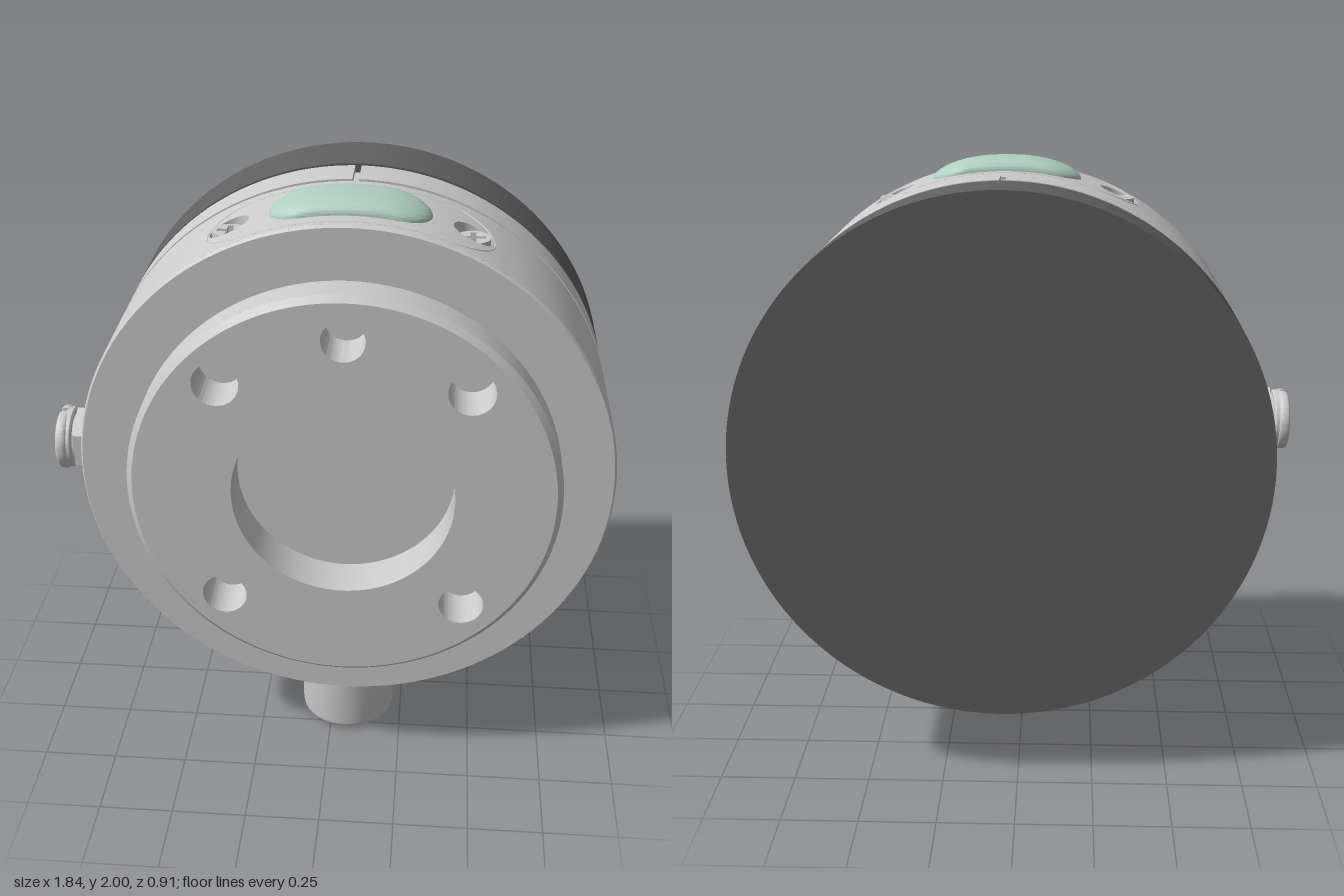
import * as THREE from 'three';
import { toCreasedNormals } from 'three/addons/utils/BufferGeometryUtils.js';
import { ParametricGeometry } from 'three/addons/geometries/ParametricGeometry.js';

const R = 0.865;          // housing radius
const PORT_Z = 0.13;      // z of plug and stub axes
const LENS_Z = 0.145;     // z of the indicator axis
const grey = new THREE.MeshStandardMaterial({ color: 0xcccccc, side: THREE.DoubleSide });
const dark = new THREE.MeshStandardMaterial({ color: 0x606060, side: THREE.DoubleSide });
const green = new THREE.MeshStandardMaterial({ color: 0xb0d0c0, side: THREE.DoubleSide });

const height = (x) => Math.sqrt(R * R - x * x);   // housing surface above its axis

function add(parent, name, geometry, material = grey) {
  const mesh = new THREE.Mesh(toCreasedNormals(geometry, 0.5), material);
  mesh.name = name;
  parent.add(mesh);
  return mesh;
}

// Profile of [radius, z] turned about the z axis
function turned(profile, start = 0, length = Math.PI * 2) {
  const points = profile.map(([r, z]) => new THREE.Vector2(r, z));
  return new THREE.LatheGeometry(points, Math.ceil(length * 20), start, length).rotateX(Math.PI / 2);
}

// Rectangle of housing wall with a round, flat-bottomed recess sunk along y
function recessedWall(x0, x1, xc, zc, r, floor) {
  const z0 = -0.055, z1 = 0.325;
  const corners = [[x0, z0], [x0, z1], [x1, z1], [x1, z0]];
  return new ParametricGeometry((u, v, target) => {
    const t = u * 4, k = Math.min(3, Math.floor(t + 1e-6)), f = t - k;
    const a = corners[k], b = corners[(k + 1) % 4];
    const px = a[0] + (b[0] - a[0]) * f, pz = a[1] + (b[1] - a[1]) * f;
    const len = Math.hypot(px - xc, pz - zc);
    const ix = xc + (px - xc) / len * r, iz = zc + (pz - zc) / len * r;
    const s = Math.round(v * 6), m = Math.min(s / 4, 1);
    const x = px + (ix - px) * m, z = pz + (iz - pz) * m;
    if (s < 5) target.set(x, height(x), z);
    else if (s === 5) target.set(ix, floor, iz);
    else target.set(xc, floor, zc);
  }, 48, 6);
}

// Point on a stadium outline lying along x
function stadium(t, halfLength, radius) {
  const straight = 2 * (halfLength - radius), arc = Math.PI * radius;
  let d = (t % 1) * 2 * (straight + arc);
  const side = d < straight + arc ? 1 : -1;
  if (side < 0) d -= straight + arc;
  if (d < straight) return [side * (d - straight / 2), -side * radius];
  const a = (d - straight) / radius - Math.PI / 2;
  return [side * (straight / 2 + radius * Math.cos(a)), side * radius * Math.sin(a)];
}

function buildHousing(parent) {
  const housing = new THREE.Group();
  housing.name = 'housing';
  parent.add(housing);
  const inner = Math.asin(0.295 / R), outer = Math.asin(0.455 / R), port = Math.asin(0.18 / R);
  // Plain wall arcs, as angles from the top towards +x
  for (const [a0, a1] of [[-inner, inner], [outer, 1.5 * Math.PI - port], [port - Math.PI / 2, -outer]])
    add(housing, 'housingWall', turned([[R, -0.055], [R, 0.325]], Math.PI - a1, a1 - a0));
  for (const s of [-1, 1])
    add(housing, 'screwRecess', recessedWall(s * 0.375 - 0.08, s * 0.375 + 0.08, s * 0.375, LENS_Z, 0.062, 0.72));
  add(housing, 'plugRecess', recessedWall(-0.18, 0.18, 0, PORT_Z, 0.145, 0.852)).rotation.z = Math.PI / 2;
  add(housing, 'housingFrontRim', turned([[R, 0.325], [0.858, 0.335], [0.66, 0.335]]));
  add(housing, 'housingBackRim', turned([[0.8, -0.065], [0.858, -0.065], [R, -0.055]]));
}

function buildFlange(parent) {
  const face = new THREE.Shape().absarc(0, 0, 0.672, 0, Math.PI * 2);
  const cut = (x, y, r) => face.holes.push(new THREE.Path().absarc(x, y, r, 0, Math.PI * 2, true));
  cut(0, 0, 0.355);
  cut(0, 0.548, 0.068);
  for (const x of [-0.39, 0.39]) for (const y of [-0.39, 0.39]) cut(x, y, 0.073);
  const plate = new THREE.ExtrudeGeometry(face, { depth: 0.155, bevelEnabled: false, curveSegments: 64 });
  add(parent, 'mountingFlange', plate.translate(0, 0, 0.3));
  add(parent, 'flangeEdge', turned([[0.692, 0.33], [0.692, 0.435], [0.672, 0.455]]));
  add(parent, 'boreFloor', new THREE.CircleGeometry(0.66, 64).translate(0, 0, 0.302));
}

function buildRear(parent) {
  // Split clamp ring with its slit at the top
  const gap = 0.012, a0 = Math.PI / 2 + gap, a1 = Math.PI * 2.5 - gap;
  const split = new THREE.Shape().absarc(0, 0, R, a0, a1, false).absarc(0, 0, 0.75, a1, a0, true);
  const ring = new THREE.ExtrudeGeometry(split, { depth: 0.135, bevelEnabled: false, curveSegments: 128 });
  add(parent, 'clampRing', ring.translate(0, 0, -0.21));
  add(parent, 'ringSeat', turned([[0.845, -0.2], [0.845, -0.06]]));
  add(parent, 'neck', turned([[0.757, -0.24], [0.757, -0.2]]));
  add(parent, 'rearCap', turned([[0, -0.455], [R, -0.455], [R, -0.23], [0, -0.23]]), dark);
}

function buildIndicator(parent) {
  const lens = new ParametricGeometry((u, v, target) => {
    const s = Math.sin(v * Math.PI / 2);
    const [x, z] = stadium(u, 0.25, 0.108);
    const rise = 0.04 * Math.sqrt(1 - s ** 4);
    target.set(x * s, height(x * s) + rise - (v > 0.999 ? 0.01 : 0), z * s + LENS_Z);
  }, 80, 20);
  add(parent, 'indicatorLens', lens, green);
  // Fine outline of the indicator plate, bent over the housing
  const points = [];
  for (let i = 0; i < 96; i++) {
    const [x, z] = stadium(i / 96, 0.443, 0.157);
    points.push(new THREE.Vector3(x, height(x), z + LENS_Z));
  }
  add(parent, 'indicatorPlateEdge', new THREE.TubeGeometry(new THREE.CatmullRomCurve3(points, true), 160, 0.0025, 6, true));
  // Cross-slotted screws
  const w = 0.009, l = 0.038;
  const cross = [[w, w], [w, l], [-w, l], [-w, w], [-l, w], [-l, -w], [-w, -w], [-w, -l], [w, -l], [w, -w], [l, -w], [l, w]];
  const head = new THREE.Shape().absarc(0, 0, 0.054, 0, Math.PI * 2);
  head.holes.push(new THREE.Path(cross.map(([x, y]) => new THREE.Vector2(x, y))));
  for (const s of [-1, 1]) {
    const geometry = new THREE.ExtrudeGeometry(head, { depth: 0.045, bevelEnabled: false, curveSegments: 24 });
    add(parent, 'screw', geometry.rotateX(-Math.PI / 2)).position.set(s * 0.375, 0.722, LENS_Z);
  }
}

function buildPlug(parent) {
  // Built upright, then turned to point along -x
  const plug = new THREE.Group();
  plug.name = 'sidePlug';
  plug.rotation.z = Math.PI / 2;
  plug.position.z = PORT_Z - 0.003;
  parent.add(plug);
  add(plug, 'plugHex', new THREE.CylinderGeometry(0.113, 0.113, 0.068, 6).rotateY(Math.PI / 2).translate(0, 0.884, 0));
  add(plug, 'plugNeck', new THREE.CylinderGeometry(0.085, 0.085, 0.03, 32).translate(0, 0.925, 0));
  const profile = [[0, 0.928], [0.095, 0.928], [0.102, 0.934], [0.102, 0.955]].map(([r, y]) => new THREE.Vector2(r, y));
  add(plug, 'plugHead', new THREE.LatheGeometry(profile, 48));
  add(plug, 'slotFloor', new THREE.CircleGeometry(0.102, 48).rotateX(-Math.PI / 2).translate(0, 0.955, 0));
  // Two halves of the head either side of the driver slot
  const a = Math.asin(0.012 / 0.09);
  const half = new THREE.Shape().absarc(0, 0, 0.09, a, Math.PI - a, false);
  for (const turn of [0, Math.PI]) {
    const geometry = new THREE.ExtrudeGeometry(half, {
      depth: 0.012, bevelThickness: 0.012, bevelSize: 0.012, bevelOffset: 0, bevelSegments: 4, curveSegments: 32,
    });
    geometry.translate(0, 0.01, 0).rotateX(-Math.PI / 2).rotateY(turn);
    add(plug, 'plugHeadHalf', geometry).position.y = 0.956;
  }
}

function buildStub(parent) {
  const profile = [new THREE.Vector2(0, -1.095)];
  for (let i = 0; i <= 6; i++) {
    const a = i / 6 * Math.PI / 2;
    profile.push(new THREE.Vector2(0.135 + 0.03 * Math.sin(a), -1.065 - 0.03 * Math.cos(a)));
  }
  profile.push(new THREE.Vector2(0.165, -0.835));
  add(parent, 'cableStub', new THREE.LatheGeometry(profile, 48)).position.z = PORT_Z;
}

export function createModel() {
  const model = new THREE.Group();
  model.name = 'roundSensor';
  const body = new THREE.Group();
  body.name = 'body';
  body.position.set(0.055, 1.095, 0);
  model.add(body);
  for (const build of [buildHousing, buildFlange, buildRear, buildIndicator, buildPlug, buildStub]) build(body);
  return model;
}
